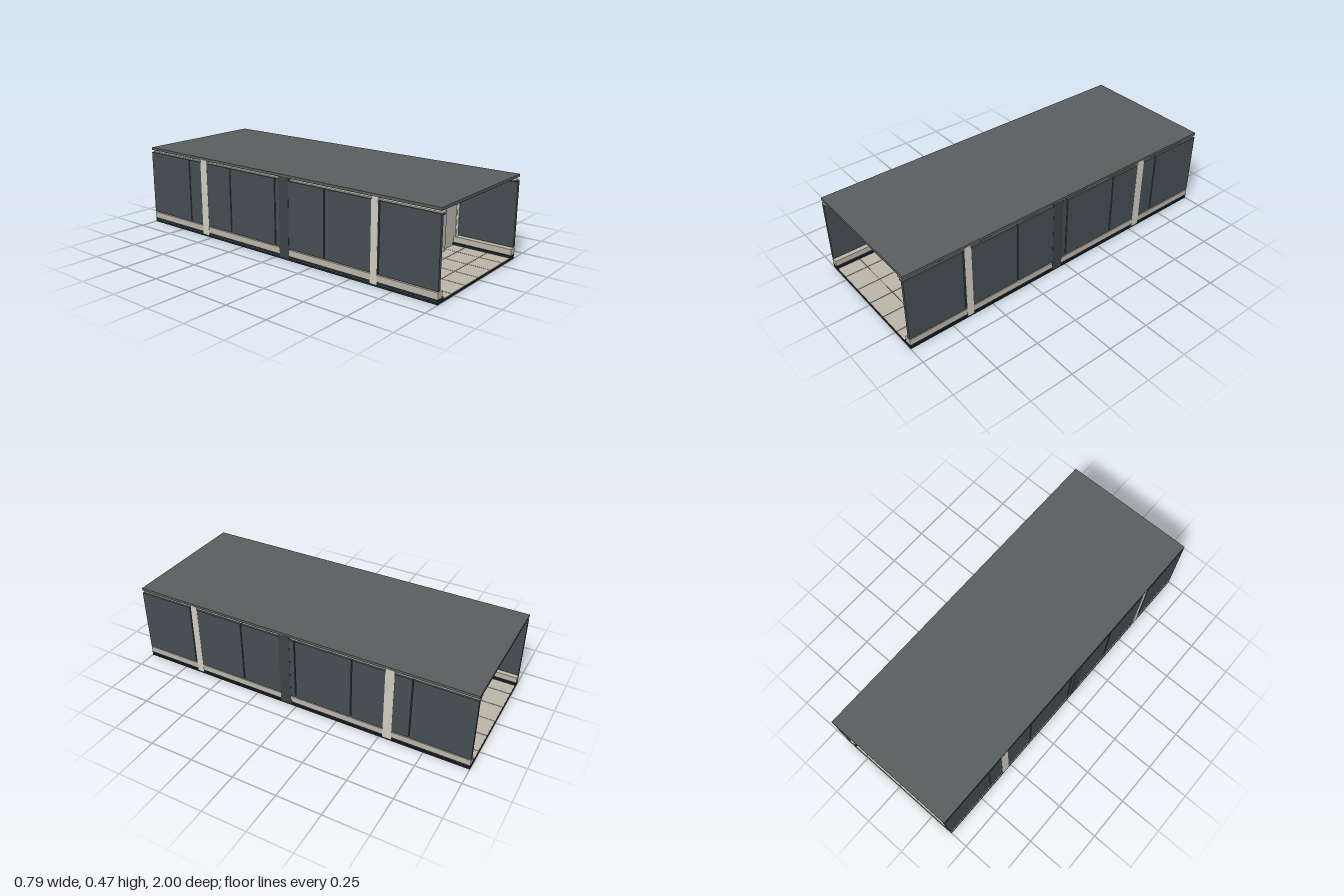
import * as THREE from 'three';

const mat = (color) => new THREE.MeshStandardMaterial({ color });
const M = {
  roof: mat(0x595d5e), ceiling: mat(0x2f3030), wall: mat(0x444d51), dark: mat(0x1d2429),
  beige: mat(0xb9b3a7), pale: mat(0xcdc9bf), frame: mat(0x394245),
};

// Box given by its minimum and maximum corners
function box(parent, name, m, [x0, y0, z0], [x1, y1, z1]) {
  const mesh = new THREE.Mesh(new THREE.BoxGeometry(x1 - x0, y1 - y0, z1 - z0), m);
  mesh.position.set((x0 + x1) / 2, (y0 + y1) / 2, (z0 + z1) / 2);
  mesh.name = name;
  parent.add(mesh);
  return mesh;
}

// The same box on both sides of the corridor
function pair(parent, name, m, [x0, y0, z0], [x1, y1, z1]) {
  box(parent, name + 'Left', m, [x0, y0, z0], [x1, y1, z1]);
  box(parent, name + 'Right', m, [-x1, y0, z0], [-x0, y1, z1]);
}

function group(parent, name) {
  const g = new THREE.Group();
  g.name = name;
  parent.add(g);
  return g;
}

// Flat wall with a doorway cut out, spanning z0..z1
function doorWall(parent, name, m, halfWidth, top, openHalf, openTop, z0, z1) {
  const s = new THREE.Shape([
    [-halfWidth, 0.011], [-openHalf, 0.011], [-openHalf, openTop], [openHalf, openTop],
    [openHalf, 0.011], [halfWidth, 0.011], [halfWidth, top], [-halfWidth, top],
  ].map(([x, y]) => new THREE.Vector2(x, y)));
  const mesh = new THREE.Mesh(new THREE.ExtrudeGeometry(s, { depth: z1 - z0, bevelEnabled: false }), m);
  mesh.position.z = z0;
  mesh.name = name;
  parent.add(mesh);
}

// Small open-fronted desk with a monitor
function console_(parent, x, z, face) {
  const g = group(parent, 'consoleDesk');
  box(g, 'deskTop', M.pale, [-0.05, 0.075, -0.04], [0.05, 0.085, 0.04]);
  box(g, 'deskBack', M.beige, [-0.05, 0, -0.04], [0.05, 0.075, -0.03]);
  for (const s of [-1, 1]) box(g, 'deskSide', M.pale, [s * 0.045 - 0.005, 0, -0.04], [s * 0.045 + 0.005, 0.075, 0.035]);
  box(g, 'deskShelf', M.beige, [-0.04, 0.02, -0.03], [0.04, 0.027, 0.03]);
  box(g, 'monitor', M.dark, [-0.025, 0.09, -0.02], [0.025, 0.125, -0.013]);
  box(g, 'monitorStand', M.pale, [-0.006, 0.085, -0.022], [0.006, 0.1, -0.019]);
  g.position.set(x, 0.012, z);
  if (face < 0) g.rotation.y = Math.PI;
}

export function createModel() {
  const root = new THREE.Group();
  root.name = 'corridorModule';
  const W = 0.393;

  // Floor slab with separate tiles
  box(root, 'floorSlab', M.dark, [-W, 0, -1], [W, 0.0105, 1]);
  const tiles = group(root, 'floorTiles');
  const nx = 6, nz = 15, tx = 0.78 / nx, tz = 1.996 / nz, gap = 0.0015;
  for (let i = 0; i < nx; i++) for (let k = 0; k < nz; k++) {
    const x = -0.39 + i * tx, z = -0.998 + k * tz;
    box(tiles, 'floorTile', M.beige, [x + gap, 0.01, z + gap], [x + tx - gap, 0.0125, z + tz - gap]);
  }

  // Roof, dark ceiling lining and cross light bars
  box(root, 'roof', M.roof, [-W, 0.453, -1], [W, 0.465, 1]);
  box(root, 'ceilingLining', M.ceiling, [-W, 0.45, -1], [W, 0.453, 1]);
  for (const z of [0.91, 0.4, -0.09, -0.59, -0.935])
    box(root, 'ceilingLightBar', M.dark, [-0.152, 0.443, z - 0.006], [0.152, 0.45, z + 0.006]);

  // Side walls: six panels a side over a stepped skirting
  const walls = group(root, 'sideWalls');
  const pitch = 2 / 6;
  for (let i = 0; i < 6; i++) {
    const z = -1 + i * pitch;
    pair(walls, 'wallPanel', M.wall, [0.375, 0.066, z + (i ? 0.003 : 0)], [W, 0.435, z + pitch - (i < 5 ? 0.003 : 0)]);
    if (i) pair(walls, 'jointStrip', M.pale, [0.37, 0.06, z - 0.005], [0.376, 0.435, z + 0.005]);
  }
  pair(walls, 'wallPost', M.beige, [0.365, 0.06, -0.75], [0.377, 0.43, -0.735]);
  pair(walls, 'skirting', M.beige, [0.354, 0.027, -1], [W, 0.06, 1]);
  pair(walls, 'kickRail', M.dark, [0.343, 0.015, -1], [W, 0.027, 1]);
  pair(walls, 'topTrim', M.pale, [0.344, 0.435, -1], [0.382, 0.441, 1]);
  pair(walls, 'underTrim', M.dark, [0.36, 0.426, -1], [0.376, 0.432, 1]);

  // Two light partitions with pilasters and outer posts
  for (const [zc, d] of [[0.64, 0.02], [-0.545, 0.025]]) {
    const p = group(root, 'partition');
    doorWall(p, 'partitionWall', M.beige, 0.376, 0.45, 0.188, 0.355, zc - d * 0.8, zc + d * 0.8);
    pair(p, 'pilaster', M.beige, [0.188, 0.011, zc - d - 0.012], [0.235, 0.361, zc + d + 0.012]);
    pair(p, 'outerPost', M.pale, [0.37, 0.0105, zc - d], [W + 0.0008, 0.4525, zc + d]);
    pair(p, 'doorJamb', M.pale, [0.178, 0.011, zc - d * 0.5], [0.188, 0.355, zc + d * 0.5]);
    box(p, 'doorHead', M.frame, [-0.188, 0.349, zc - d * 0.5], [0.188, 0.356, zc + d * 0.5]);
  }

  // Dark central bulkhead with narrower doorway
  const b = group(root, 'centralBulkhead');
  doorWall(b, 'bulkheadWall', M.frame, W + 0.0008, 0.4525, 0.165, 0.34, 0.03, 0.095);
  for (const z of [0.026, 0.095]) {
    pair(b, 'frameSide', M.dark, [0.167, 0.011, z], [0.182, 0.356, z + 0.004]);
    box(b, 'frameTop', M.dark, [-0.182, 0.342, z], [0.182, 0.356, z + 0.004]);
  }

  // Desks beside the partitions and wall cabinets
  console_(root, 0.235, -0.64, -1);
  console_(root, -0.235, 0.565, -1);
  box(root, 'wallCabinet', M.pale, [0.345, 0.1, -0.655], [0.375, 0.18, -0.585]);
  box(root, 'cabinetScreen', M.dark, [0.343, 0.115, -0.645], [0.346, 0.165, -0.595]);

  return root;
}
